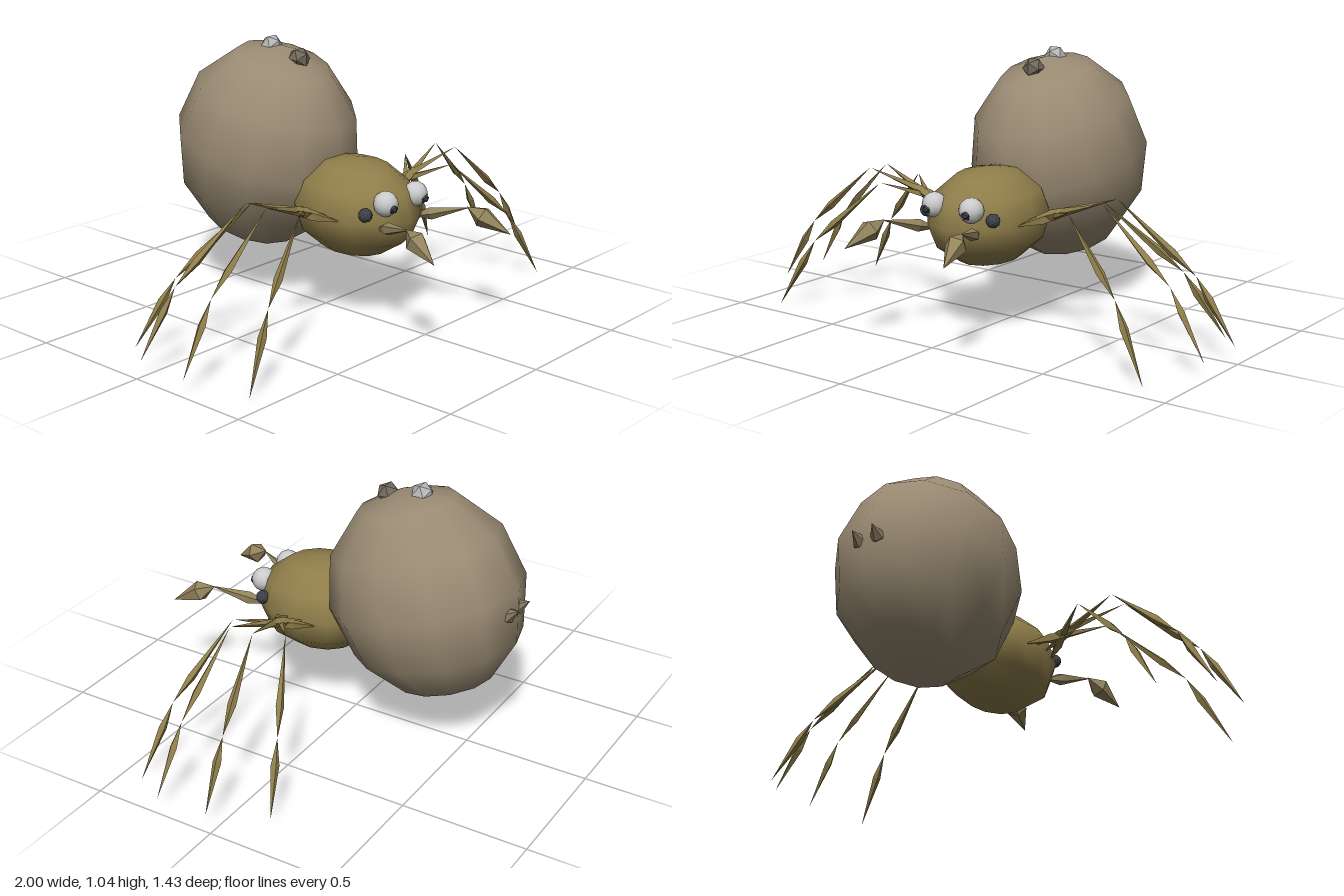
import * as THREE from 'three';

const mat = (color, flatShading = false) => new THREE.MeshStandardMaterial({ color, flatShading });
const V = (p, s = 1) => new THREE.Vector3(p[0] * s, p[1], p[2]);

export function createModel() {
  const model = new THREE.Group();
  const shell = mat(0x9a8b73);
  const olive = mat(0x8f7e4a);
  const legMat = mat(0x8f7e4a, true);
  const palpMat = mat(0x93845c, true);
  const white = mat(0xd8d8d8);
  const dark = mat(0x3c4048, true);

  function add(name, geometry, material, position = [0, 0, 0], parent = model) {
    const mesh = new THREE.Mesh(geometry, material);
    mesh.name = name;
    mesh.position.set(...position);
    parent.add(mesh);
    return mesh;
  }

  // Low-poly ellipsoid tilted about x
  function ellipsoid(name, material, position, radii, tilt) {
    const mesh = add(name, new THREE.SphereGeometry(1, 12, 6), material, position);
    mesh.scale.set(...radii);
    mesh.rotation.x = tilt;
    return mesh;
  }

  // Faceted double-ended point from a to b, widest at fraction t
  function spindle(name, a, b, radius, t, material, parent, sides = 4) {
    const dir = b.clone().sub(a);
    const len = dir.length();
    const profile = [[0, 0], [radius, t * len], [0, len]].map(p => new THREE.Vector2(...p));
    const mesh = add(name, new THREE.LatheGeometry(profile, sides), material, a.toArray(), parent);
    mesh.quaternion.setFromUnitVectors(new THREE.Vector3(0, 1, 0), dir.normalize());
    return mesh;
  }

  // Body
  ellipsoid('abdomen', shell, [0, 0.61, -0.31], [0.342, 0.414, 0.39], THREE.MathUtils.degToRad(15));
  ellipsoid('head', olive, [0, 0.446, 0.152], [0.22, 0.191, 0.27], 0.05);

  // Bumps on top of the abdomen
  add('rearBump', new THREE.IcosahedronGeometry(0.045, 0), mat(0xb4b4b4, true), [0, 1.004, -0.282]);
  add('frontBump', new THREE.IcosahedronGeometry(0.045, 0), mat(0x71685b, true), [0, 0.972, -0.138]);

  // Leg joints on the left side: hip, upper joint, knee, tip
  const legs = [
    [[0.19, 0.44, 0.06], [0.444, 0.532, 0.268], [0.71, 0.278, 0.365], [0.86, 0.005, 0.415]],
    [[0.19, 0.45, 0.115], [0.55, 0.57, 0.206], [0.845, 0.315, 0.222], [0.998, 0.065, 0.235]],
    [[0.19, 0.45, 0.19], [0.55, 0.57, 0.107], [0.845, 0.315, 0.042], [0.998, 0.075, 0.02]],
    [[0.19, 0.44, 0.245], [0.444, 0.532, 0.035], [0.71, 0.278, -0.1], [0.86, 0.035, -0.163]],
  ];

  for (const s of [1, -1]) {
    const side = s > 0 ? 'left' : 'right';

    legs.forEach((joints, i) => {
      const leg = new THREE.Group();
      leg.name = `${side}Leg${i + 1}`;
      model.add(leg);
      const p = joints.map(j => V(j, s));
      spindle('upperLeg', p[0], p[1], 0.02, 0.3, legMat, leg);
      spindle('middleLeg', p[1], p[2], 0.016, 0.7, legMat, leg);
      spindle('lowerLeg', p[2], p[3], 0.016, 0.33, legMat, leg);
    });

    // Feelers beside the mouth
    const palp = new THREE.Group();
    palp.name = `${side}Feeler`;
    model.add(palp);
    spindle('feelerArm', V([0.1, 0.415, 0.34], s), V([0.185, 0.475, 0.56], s), 0.025, 0.35, palpMat, palp, 5);
    spindle('feelerTip', V([0.182, 0.475, 0.545], s), V([0.23, 0.39, 0.713], s), 0.042, 0.35, palpMat, palp, 5);

    // Main eye with pupil, and the small outer eye
    add(`${side}Eye`, new THREE.SphereGeometry(0.048, 12, 8), white, [s * 0.087, 0.513, 0.372]);
    add(`${side}Pupil`, new THREE.IcosahedronGeometry(0.02, 0), dark, [s * 0.092, 0.502, 0.41]);
    add(`${side}OuterEye`, new THREE.IcosahedronGeometry(0.027, 1), dark, [s * 0.156, 0.476, 0.332]);

    // Spinnerets at the back
    spindle(`${side}Spinneret`, V([0.035, 0.61, -0.64], s), V([0.045, 0.658, -0.713], s), 0.032, 0.35, mat(0x85775f, true), model, 6);
  }

  return model;
}
